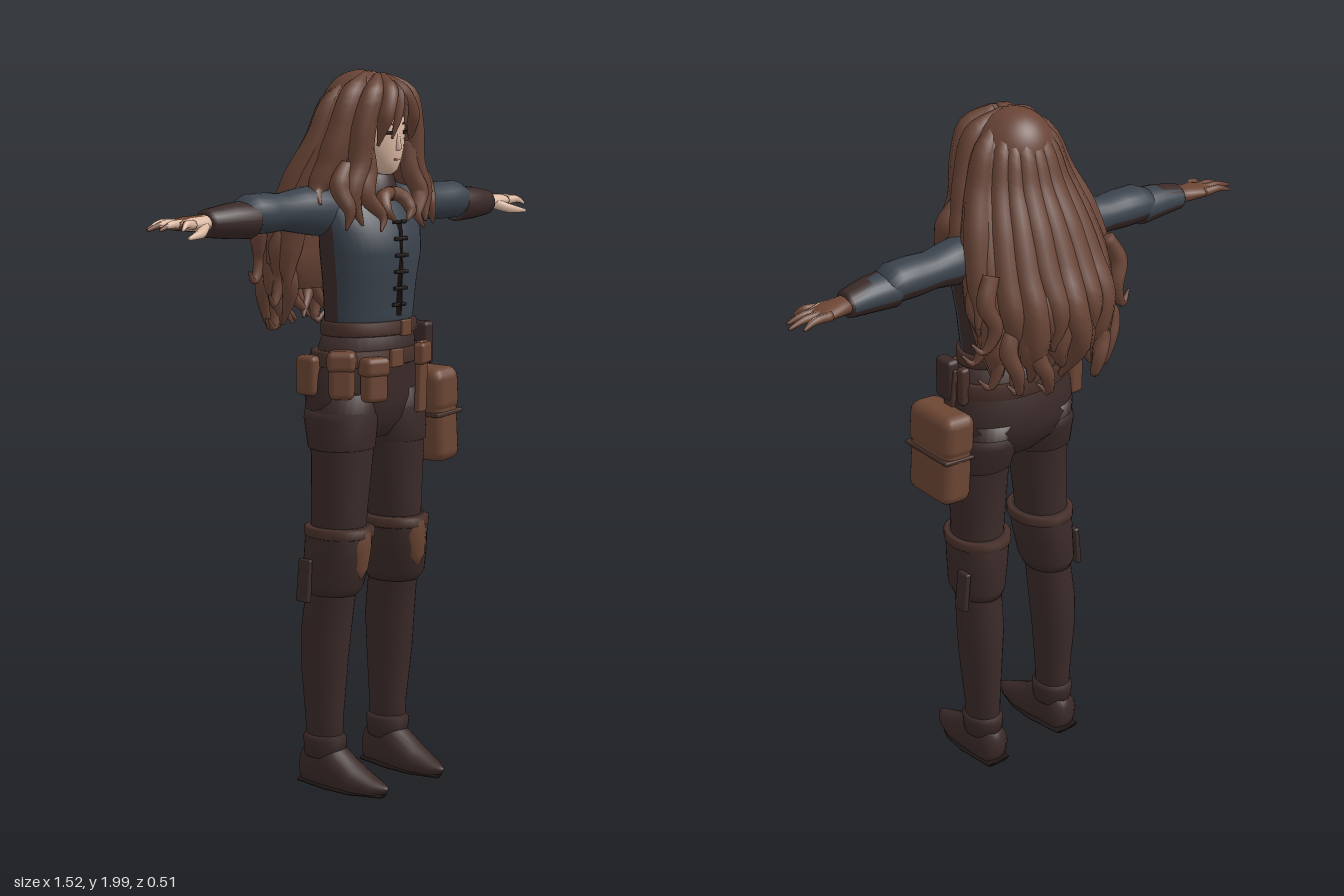
import * as THREE from 'three';
import { mergeVertices } from 'three/addons/utils/BufferGeometryUtils.js';
import { RoundedBoxGeometry } from 'three/addons/geometries/RoundedBoxGeometry.js';

const V = (x, y, z) => new THREE.Vector3(x, y, z);
const mat = (name, color) => { const m = new THREE.MeshStandardMaterial({ color }); m.name = name; return m; };

// Closed skin through rings of points, with capped ends
function loft(rings) {
  const n = rings[0].length, pos = [], idx = [];
  rings.forEach(r => r.forEach(p => pos.push(p.x, p.y, p.z)));
  for (let i = 0; i < rings.length - 1; i++) for (let j = 0; j < n; j++) {
    const a = i * n + j, b = i * n + (j + 1) % n;
    idx.push(a, b, a + n, b, b + n, a + n);
  }
  [0, rings.length - 1].forEach((k, end) => {
    const c = rings[k].reduce((s, p) => s.add(p), V(0, 0, 0)).divideScalar(n), ci = pos.length / 3;
    pos.push(c.x, c.y, c.z);
    for (let j = 0; j < n; j++) {
      const a = k * n + j, b = k * n + (j + 1) % n;
      if (end) idx.push(ci, a, b); else idx.push(ci, b, a);
    }
  });
  const g = new THREE.BufferGeometry();
  g.setAttribute('position', new THREE.Float32BufferAttribute(pos, 3));
  g.setIndex(idx);
  g.computeVertexNormals();
  return g;
}
const around = (n, f) => Array.from({ length: n }, (_, i) => { const a = i / n * Math.PI * 2; return f(Math.sin(a), Math.cos(a)); });
// Lofts along each axis: rows are [y,cx,cz,rx,rz], [x,cy,cz,ry,rz], [z,cx,cy,rx,ry]
const loftY = (rows, n = 32) => loft(rows.map(([y, cx, cz, rx, rz]) => around(n, (s, c) => V(cx + rx * s, y, cz + rz * c))));
const loftX = (rows, n = 24) => loft(rows.map(([x, cy, cz, ry, rz]) => around(n, (s, c) => V(x, cy + ry * c, cz + rz * s))));
const loftZ = (rows, n = 24) => loft(rows.map(([z, cx, cy, rx, ry]) => around(n, (s, c) => V(cx + rx * c, Math.max(0, cy + ry * s), z))));
const band = (y, h, cx, cz, rx, rz) => loftY([[y - h / 2, cx, cz, rx - 0.008, rz - 0.008], [y - h / 2 + 0.004, cx, cz, rx, rz],
  [y + h / 2 - 0.004, cx, cz, rx, rz], [y + h / 2, cx, cz, rx - 0.008, rz - 0.008]]);

// Tapered lock of hair along a curve; r lists radii from root to tip
function lock(pts, r, seg = 22, n = 8) {
  const curve = new THREE.CatmullRomCurve3(pts.map(p => V(...p))), f = curve.computeFrenetFrames(seg);
  return loft(Array.from({ length: seg + 1 }, (_, i) => {
    const t = i / seg * (r.length - 1), k = Math.min(Math.floor(t), r.length - 2);
    const rad = THREE.MathUtils.lerp(r[k], r[k + 1], t - k), p = curve.getPointAt(i / seg);
    return around(n, (s, c) => p.clone().addScaledVector(f.normals[i], c * rad).addScaledVector(f.binormals[i], s * rad));
  }));
}
// Sort faces into two material groups by centre and normal
function split(g, test) {
  const p = g.attributes.position, ix = g.index.array, A = [], B = [];
  for (let i = 0; i < ix.length; i += 3) {
    const [a, b, c] = [0, 1, 2].map(k => new THREE.Vector3().fromBufferAttribute(p, ix[i + k]));
    const nrm = b.clone().sub(a).cross(c.clone().sub(a)).normalize();
    (test(a.add(b).add(c).divideScalar(3), nrm) ? A : B).push(ix[i], ix[i + 1], ix[i + 2]);
  }
  g.setIndex([...A, ...B]);
  g.addGroup(0, A.length, 0);
  g.addGroup(A.length, B.length, 1);
  return g;
}
function mirror(src) {
  const g = src.clone(), p = g.attributes.position, nm = g.attributes.normal, ix = g.index.array;
  for (let i = 0; i < p.count; i++) { p.setX(i, -p.getX(i)); nm.setX(i, -nm.getX(i)); }
  for (let i = 0; i < ix.length; i += 3) [ix[i + 1], ix[i + 2]] = [ix[i + 2], ix[i + 1]];
  return g;
}
const block = (w, h, d, x, y, z, rz = 0, ry = 0) =>
  mergeVertices(new RoundedBoxGeometry(w, h, d, 2, Math.min(w, h, d) * 0.3)).rotateY(ry).rotateZ(rz).translate(x, y, z);

export function createModel() {
  const root = new THREE.Group();
  root.name = 'adventurer';
  const hair = mat('hair brown', 0x694436), blue = mat('slate cloth', 0x3a424c), dark = mat('dark leather', 0x3a2a28),
    belt = mat('belt brown', 0x48302a), tan = mat('bag leather', 0x6b4533), skin = mat('skin', 0xdcb9a2),
    black = mat('eye and trim black', 0x1e1614), lip = mat('lip', 0xa8705f);
  const add = (name, g, m) => { const o = new THREE.Mesh(g, m); o.name = name; root.add(o); return o; };
  const pair = (name, g, m) => { add(name + 'Left', g, m); add(name + 'Right', mirror(g), m); };

  // Torso: slate front and shoulders, dark back
  const torso = [[1.26, 0, .08, .145, .098], [1.33, 0, .082, .147, .1], [1.42, 0, .085, .155, .105], [1.5, 0, .088, .168, .112],
    [1.56, 0, .085, .172, .108], [1.62, 0, .07, .17, .09], [1.66, 0, .06, .135, .07], [1.69, 0, .065, .07, .055]];
  add('jacket', split(loftY(torso, 40), (c, n) => n.z > 0.3 || n.y > 0.5), [blue, dark]);
  add('placket', loftZ([[.17, 0, 1.46, .005, .13], [.2, 0, 1.46, .005, .13]], 8), black);
  for (let i = 0; i < 6; i++) add('toggle', block(.05, .01, .012, 0, 1.36 + i * .045, .192 + .008 * Math.sin(i / 5 * Math.PI)), black);
  add('neck', loftY([[1.64, 0, .075, .05, .05], [1.76, 0, .085, .045, .045]]), skin);
  add('collar', loftY([[1.64, 0, .075, .1, .085], [1.67, 0, .08, .08, .078], [1.71, 0, .085, .066, .064], [1.715, 0, .085, .05, .05]]), dark);

  // Arms, cuffs and hands
  pair('sleeve', split(loftX([[.1, 1.61, .05, .065, .06], [.18, 1.618, .04, .068, .064], [.24, 1.62, .035, .06, .06], [.3, 1.62, .032, .05, .056],
    [.36, 1.62, .032, .054, .06], [.42, 1.62, .032, .053, .06], [.46, 1.61, .032, .045, .05]]), (c, n) => n.z < -.1 && n.y < -.35), [dark, blue]);
  pair('cuff', split(loftX([[.42, 1.607, .034, .045, .052], [.43, 1.607, .034, .051, .06], [.5, 1.606, .034, .046, .052], [.57, 1.604, .028, .037, .042],
    [.58, 1.604, .028, .028, .032]]), (c, n) => c.z > .06 - (c.x - .43) * .6 || n.y < -.4), [dark, blue]);
  const handSkin = (c, n) => n.z > .3 && c.x < .72;
  pair('palm', split(loftX([[.56, 1.605, .025, .024, .03], [.6, 1.605, .025, .022, .036], [.64, 1.606, .022, .019, .043], [.68, 1.604, .02, .012, .038]]), handSkin), [skin, tan]);
  [[.055, .7, .075], [.03, .745, .04], [.01, .76, .01], [-.01, .735, -.02]].forEach(([z0, x, z1]) =>
    pair('finger', split(lock([[.645, 1.606, z0], [(x + .66) / 2, 1.608, (z0 + z1) / 2], [x, 1.596, z1]], [.013, .011, .004], 10), handSkin), [skin, tan]));
  pair('thumb', lock([[.595, 1.6, .045], [.63, 1.585, .07], [.69, 1.575, .088]], [.016, .013, .005], 10), skin);

  // Hips, belts and shorts
  add('hips', loftY([[.99, 0, .07, .1, .06], [1.04, 0, .062, .185, .1], [1.1, 0, .057, .197, .115], [1.17, 0, .06, .19, .115],
    [1.23, 0, .073, .168, .106], [1.29, 0, .082, .15, .1]]), dark);
  add('waistBelt', band(1.295, .04, 0, .082, .158, .108), belt);
  add('hipBelt', band(1.215, .045, 0, .07, .184, .12), belt);
  add('waistBuckle', block(.04, .045, .014, .03, 1.295, .19), tan);
  add('beltBuckle', block(.05, .05, .014, -.01, 1.215, .192), tan);

  // Legs and boots
  pair('leg', loftY([[.05, .133, .037, .045, .05], [.2, .135, .037, .05, .057], [.35, .138, .04, .06, .07], [.45, .135, .044, .065, .075],
    [.58, .13, .06, .062, .075], [.68, .122, .075, .07, .08], [.8, .115, .076, .077, .08], [.95, .108, .08, .088, .085],
    [1.05, .1, .07, .096, .1], [1.12, .095, .06, .09, .105]]), dark);
  pair('shortsHem', loftY([[.965, .108, .078, .086, .084], [.97, .108, .078, .094, .093], [1.05, .1, .068, .099, .106], [1.08, .1, .065, .09, .1]]), dark);
  pair('boot', loftZ([[-.033, .133, .05, .02, .03], [-.02, .133, .055, .046, .062], [.05, .133, .065, .052, .085], [.1, .13, .05, .055, .065],
    [.16, .127, .032, .051, .042], [.22, .123, .024, .033, .024], [.25, .12, .026, .015, .012], [.26, .12, .028, .004, .004]]), dark);
  pair('ankleFold', loftY([[.09, .133, .038, .052, .062], [.14, .134, .038, .057, .066], [.155, .134, .036, .048, .054]]), dark);
  pair('sole', loftZ([[-.034, .133, .008, .04, .01], [.08, .13, .008, .055, .01], [.16, .127, .008, .05, .01], [.24, .12, .008, .018, .008]]), black);
  pair('kneeCuff', loftY([[.56, .13, .06, .066, .078], [.585, .13, .065, .076, .092], [.66, .122, .072, .08, .1], [.74, .116, .077, .087, .1], [.752, .116, .077, .078, .088]]), dark);
  pair('kneeCuffRim', band(.735, .03, .116, .077, .091, .104), belt);
  pair('kneePad', loftY([[.61, .12, .135, .015, .03], [.64, .12, .135, .035, .042], [.7, .116, .135, .045, .046], [.74, .114, .135, .04, .047], [.745, .114, .135, .034, .04]], 20), tan);
  pair('kneeStrap', block(.018, .12, .045, .207, .6, .03, .1), dark);

  // Satchel and pouches
  add('satchel', block(.1, .27, .18, .222, 1.03, .1, .07), tan);
  add('satchelFlap', block(.108, .13, .19, .218, 1.1, .1, .07), tan);
  add('satchelSeam', block(.11, .012, .186, .222, 1.035, .1, .07), belt);
  add('satchelStrap', block(.016, .14, .04, .185, 1.2, .1, .1), belt);
  add('frontStrap', block(.045, .2, .02, .115, 1.15, .175, -.04, .25), tan);
  add('strapKnot', block(.075, .06, .035, .12, 1.215, .175, 0, .4), tan);
  [[.07, .13, .06, -.165, 1.175, .13, -.9], [.07, .12, .05, -.09, 1.16, .18, -.25]].forEach(([w, h, d, x, y, z, ry]) => {
    add('pouch', block(w, h, d, x, y, z, 0, ry), tan);
    add('pouchFlap', block(w + .01, h * .45, d + .01, x, y + h * .3, z, 0, ry), tan);
  });
  add('sidePouch', block(.04, .12, .065, .18, 1.235, .12), dark);
  add('vial', block(.03, .11, .03, .18, 1.235, .05), belt);
  add('backPouch', block(.05, .11, .07, -.185, 1.17, .03), tan);

  // Head and face
  add('face', loftY([[1.712, 0, .142, .014, .018], [1.724, 0, .137, .032, .038], [1.75, 0, .122, .053, .061], [1.785, 0, .105, .071, .082],
    [1.83, 0, .095, .08, .094], [1.88, 0, .09, .082, .094], [1.93, 0, .08, .07, .085], [1.96, 0, .075, .03, .04]]), skin);
  add('nose', loftY([[1.777, 0, .182, .009, .006], [1.783, 0, .186, .009, .011], [1.825, 0, .182, .006, .008]], 10), skin);
  add('mouth', block(.024, .005, .008, 0, 1.753, .181), lip);
  pair('eye', block(.026, .011, .008, .033, 1.826, .178, 0, .35), black);
  pair('eyebrow', block(.032, .005, .008, .034, 1.85, .178, .12, .35), hair);

  // Scalp and the inner mass of back hair
  const cap = new THREE.SphereGeometry(1, 32, 20, 0, Math.PI * 2, 0, Math.PI * .62).scale(.118, .135, .118).rotateX(-.45).translate(0, 1.86, .062);
  hair.side = THREE.DoubleSide;
  add('scalpHair', cap, hair);
  const ys = [1.975, 1.9, 1.8, 1.7, 1.6, 1.5, 1.4, 1.3], wx = [.03, .095, .125, .16, .185, .195, .2, .185],
    zf = [.06, .06, .05, .02, -.01, -.025, -.03, -.04], zb = [.02, -.03, -.06, -.11, -.155, -.205, -.205, -.165];
  add('backHairCore', loft(ys.slice(0, 7).map((y, i) => around(28, (s, c) =>
    V(wx[i] * .93 * s, y, zf[i] + c * (c < 0 ? zf[i] - zb[i] : .02)))).reverse()), hair);

  // Fanned back locks with curling ends
  const strand = (a, out, wig, rows, r) => {
    const pts = ys.slice(0, rows).map((y, i) => {
      const w = wig * Math.max(0, i - 4) * (i % 2 ? 1 : -1);
      return [wx[i] * out * Math.sin(a) + w * Math.cos(a), y, zf[i] + (zb[i] - zf[i]) * out * Math.cos(a) - w * Math.sin(a) * .5];
    });
    add('backLock', lock(pts, r, 26, 10), hair);
  };
  for (let i = 0; i < 11; i++) strand((i - 5) / 5 * 1.5, 1, .006 * (i % 3 - 1), i % 2 ? 8 : 7, [.012, .032, .04, .043, .043, .038, .006]);
  for (let i = 0; i < 12; i++) strand((i - 5.5) / 5.5 * 1.4, .93, .012 * (i % 2 ? 1 : -1), 8, [.01, .025, .03, .032, .034, .028, .004]);

  // Loose curls beside the body
  [[.19, 1.6, -.04, .25, 1.36], [.2, 1.62, -.1, .265, 1.42], [.17, 1.5, -.07, .22, 1.29], [.15, 1.48, -.13, .17, 1.28], [.08, 1.45, -.17, .1, 1.28]].forEach(([x, y, z, tx, ty]) => {
    const h = y - ty;
    pair('sideCurl', lock([[x, y, z], [x + .03, y - h * .35, z - .015], [x + .01, y - h * .7, z - .03], [tx - .02, ty, z - .02], [tx + .01, ty + .03, z - .01]], [.022, .026, .022, .014, .003]), hair);
  });

  // Locks framing the face and falling over the shoulders
  [[[[.01, 1.975, .12], [.065, 1.93, .155], [.098, 1.84, .15], [.11, 1.74, .145], [.145, 1.66, .15], [.13, 1.58, .175]], [.012, .032, .034, .034, .03, .004]],
    [[[.01, 1.98, .08], [.09, 1.92, .1], [.125, 1.82, .09], [.155, 1.73, .07], [.19, 1.67, .06], [.215, 1.64, .1]], [.012, .034, .038, .04, .032, .004]],
    [[[.01, 1.98, .06], [.1, 1.9, .04], [.135, 1.8, .02], [.175, 1.7, -.02], [.205, 1.58, -.06], [.23, 1.47, -.08]], [.012, .034, .04, .042, .036, .006]],
    [[[.09, 1.8, .15], [.088, 1.72, .155], [.11, 1.66, .17], [.07, 1.6, .195], [.09, 1.565, .205]], [.02, .026, .026, .018, .003]],
    [[[.13, 1.74, .12], [.17, 1.68, .13], [.165, 1.62, .16], [.18, 1.57, .16]], [.024, .03, .022, .003]]
  ].forEach(([pts, r]) => pair('frontLock', lock(pts, r), hair));

  // Uneven fringe
  [[[[.01, 1.975, .12], [.03, 1.935, .172], [.06, 1.88, .182], [.08, 1.8, .16]], [.012, .024, .022, .004]],
    [[[.01, 1.975, .12], [-.025, 1.935, .175], [-.05, 1.88, .188], [-.066, 1.79, .172]], [.012, .026, .024, .004]],
    [[[.012, 1.97, .13], [.004, 1.925, .182], [-.012, 1.87, .197], [-.035, 1.81, .195]], [.012, .018, .012, .003]],
    [[[.012, 1.97, .13], [.02, 1.925, .18], [.026, 1.88, .19], [.02, 1.845, .196]], [.012, .016, .01, .003]]
  ].forEach(([pts, r]) => add('fringeLock', lock(pts, r), hair));

  // Knotted neckerchief
  pair('neckerchief', lock([[.0, 1.665, .16], [.04, 1.65, .17], [.05, 1.615, .19], [.025, 1.59, .2]], [.016, .022, .018, .004], 14), tan);
  return root;
}
